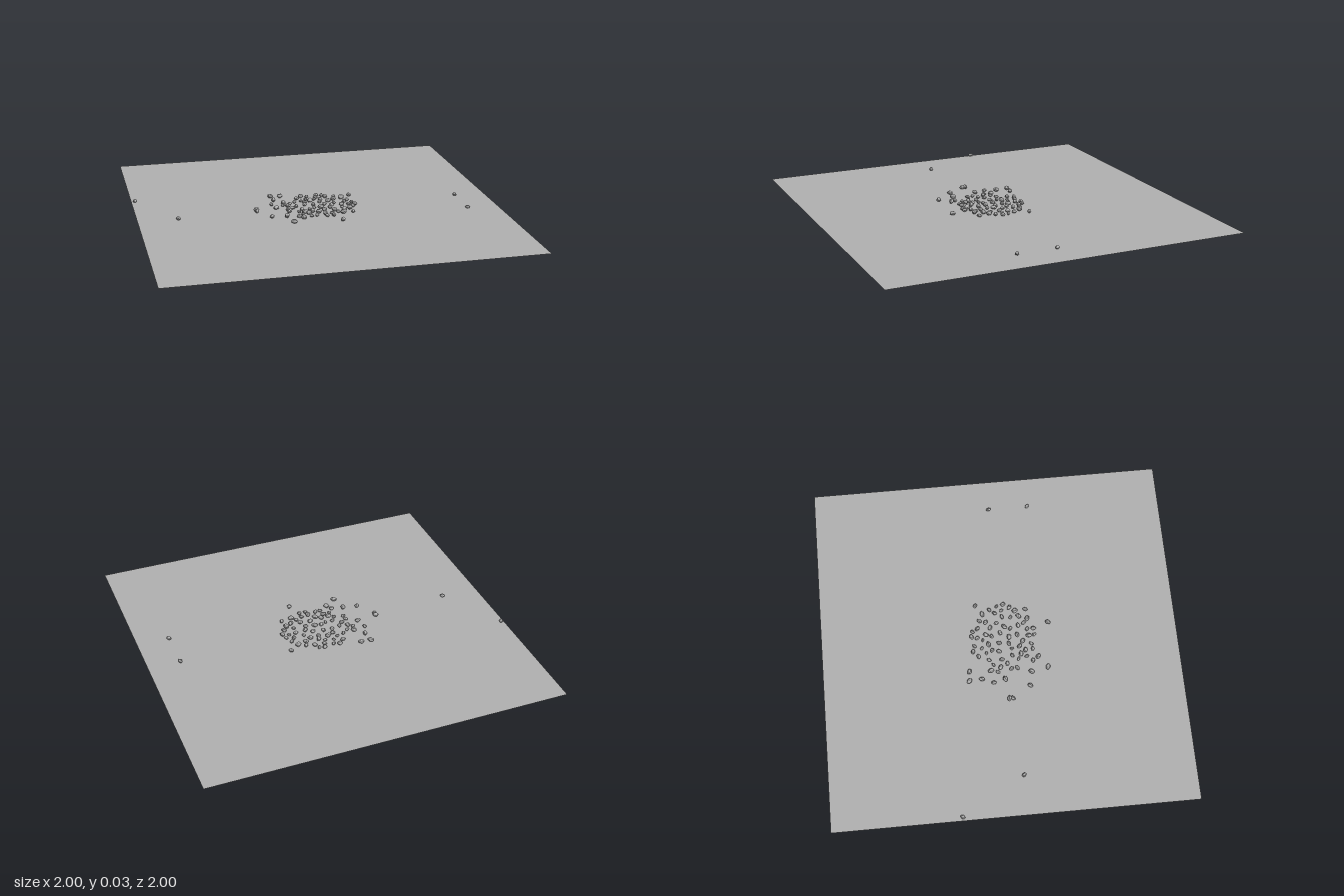
import * as THREE from 'three';
import { mergeVertices } from 'three/addons/utils/BufferGeometryUtils.js';

// Small seeded generator
function seeded(seed) {
  return () => {
    seed = (seed * 16807) % 2147483647;
    return seed / 2147483647;
  };
}

// Lumpy low-poly stone of about unit radius
function stoneGeometry(rand) {
  let geo = new THREE.IcosahedronGeometry(1, 1);
  geo.deleteAttribute('normal');
  geo.deleteAttribute('uv');
  geo = mergeVertices(geo);
  const p = geo.attributes.position;
  const v = new THREE.Vector3();
  for (let i = 0; i < p.count; i++) {
    v.fromBufferAttribute(p, i).multiplyScalar(0.88 + 0.22 * rand());
    p.setXYZ(i, v.x, v.y, v.z);
  }
  geo.computeVertexNormals();
  return geo;
}

// Stones lying apart, as x, z pairs
const STRAYS = [
  -0.98, -0.29, -0.78, 0.06, 0.82, 0.01, 0.82, 0.235,
];

// Stones of the main heap, as x, z pairs
const HEAP = [
  -0.22, -0.19, -0.165, -0.185, -0.05, -0.155, 0.225, -0.12, 0.22, 0.037,
  -0.34, 0.022, -0.34, 0.042, -0.275, 0.145, -0.175, 0.255, 0.09, 0.28,
  -0.11, 0.205, -0.195, 0.16, -0.24, -0.055, -0.225, 0.01, -0.215, -0.12,
  -0.17, -0.065, -0.155, -0.01, -0.135, 0.03, -0.09, 0.062, -0.105, -0.07,
  -0.06, -0.01, -0.01, -0.005, -0.015, -0.065, 0.03, -0.125, 0.045, -0.075,
  0.085, -0.12, 0.12, -0.07, 0.085, -0.048, 0.17, -0.085, 0.17, -0.015,
  0.145, 0.025, 0.085, 0.032, 0.02, 0.053, 0.07, 0.065, 0.03, 0.1,
  0.05, 0.005, 0.085, 0.11, 0.14, 0.118, 0.175, 0.1, 0.18, 0.16,
  0.122, 0.165, 0.06, 0.195, 0.02, 0.165, -0.03, 0.175, -0.065, 0.138,
  -0.13, 0.175, -0.085, 0.112, -0.04, 0.107, -0.01, 0.128, 0.06, 0.16,
];

export function createModel() {
  const model = new THREE.Group();
  const rand = seeded(4217);

  const groundGrey = new THREE.MeshStandardMaterial({ color: 0xb2b2b2, side: THREE.DoubleSide });
  groundGrey.name = 'ground grey';
  const stoneGrey = new THREE.MeshStandardMaterial({ color: 0xb0b0b0, flatShading: true });
  stoneGrey.name = 'stone grey';

  // Flat square of ground
  const ground = new THREE.Mesh(new THREE.PlaneGeometry(2, 2), groundGrey);
  ground.name = 'ground';
  ground.rotation.x = -Math.PI / 2;
  model.add(ground);

  const shapes = Array.from({ length: 5 }, () => stoneGeometry(rand));
  const addStone = (group, x, z, size) => {
    const stone = new THREE.Mesh(shapes[Math.floor(rand() * shapes.length)], stoneGrey);
    stone.name = 'stone';
    const height = size * (0.75 + 0.2 * rand());
    stone.scale.set(size * 1.15, height, size * 0.85);
    stone.rotation.y = rand() * Math.PI * 2;
    stone.position.set(x, height, z);
    group.add(stone);
  };

  // Stray stones
  const strays = new THREE.Group();
  strays.name = 'strayStones';
  for (let i = 0; i < STRAYS.length; i += 2) addStone(strays, STRAYS[i], STRAYS[i + 1], 0.012);
  model.add(strays);

  // Main heap
  const heap = new THREE.Group();
  heap.name = 'stoneHeap';
  const placed = [];
  for (let i = 0; i < HEAP.length; i += 2) {
    placed.push([HEAP[i], HEAP[i + 1]]);
    addStone(heap, HEAP[i], HEAP[i + 1], 0.0115 + 0.004 * rand());
  }

  // Extra stones filling gaps, denser toward the middle
  for (let n = 0, tries = 0; n < 28 && tries < 2000; tries++) {
    const angle = rand() * Math.PI * 2;
    const radius = 0.21 * Math.sqrt(rand());
    const x = 0.02 + radius * Math.cos(angle);
    const z = 0.03 + radius * Math.sin(angle) * 0.9;
    if (placed.some(([a, b]) => Math.hypot(a - x, b - z) < 0.03)) continue;
    placed.push([x, z]);
    addStone(heap, x, z, 0.009 + 0.004 * rand());
    n++;
  }
  model.add(heap);

  return model;
}
